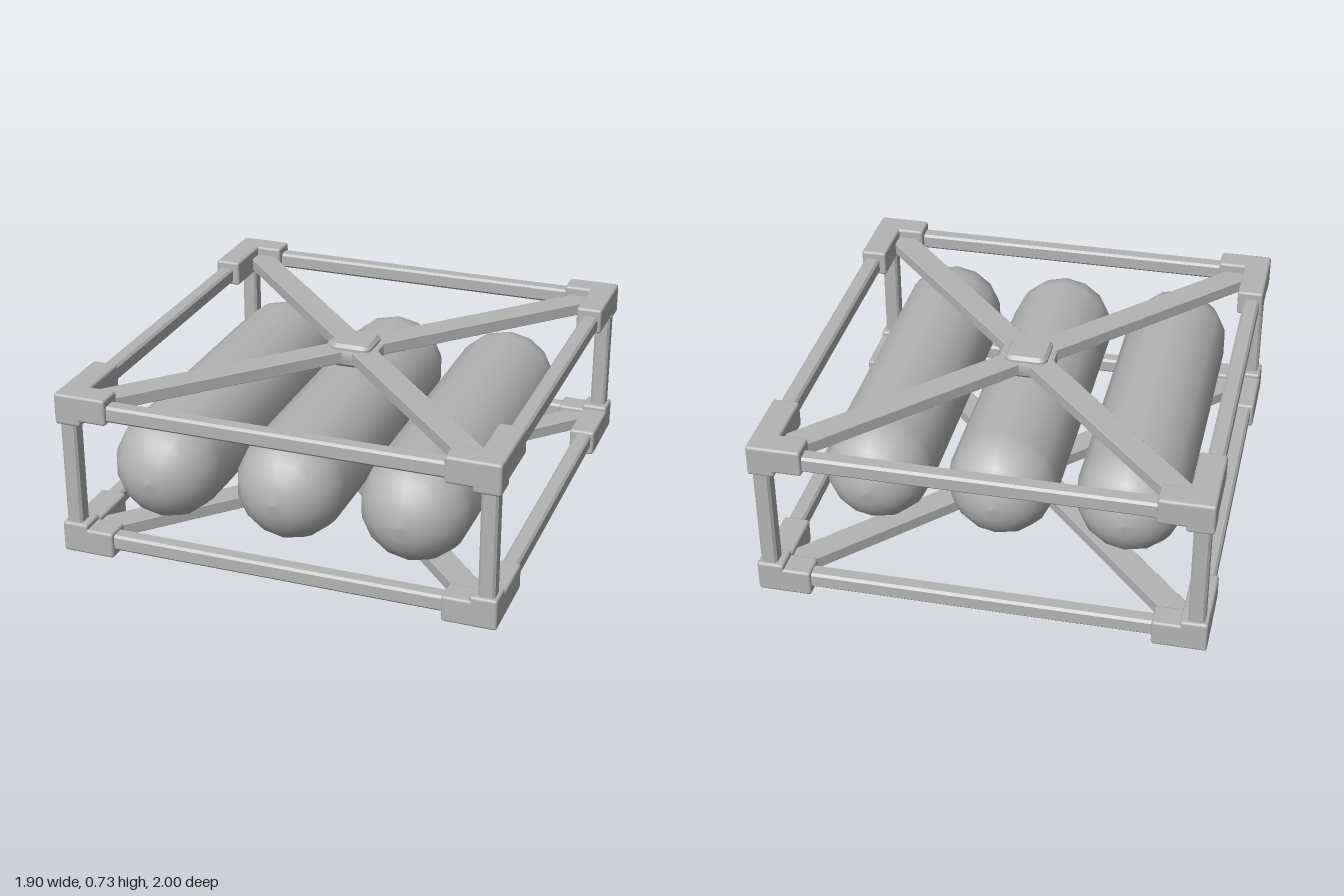
import * as THREE from 'three';
import { toCreasedNormals } from 'three/addons/utils/BufferGeometryUtils.js';
import { RoundedBoxGeometry } from 'three/addons/geometries/RoundedBoxGeometry.js';

const HALF_X = 0.95, HALF_Z = 1, HEIGHT = 0.73;
const BEAM = 0.07, BEAM_X = 0.9, BEAM_Z = 0.95, BEAM_Y = 0.068;

// Square bar with chamfered long edges, running along z and centred
function barGeometry(width, height, length, chamfer) {
  const w = width / 2, h = height / 2, c = chamfer;
  const pts = [[w, -h + c], [w, h - c], [w - c, h], [-w + c, h],
    [-w, h - c], [-w, -h + c], [-w + c, -h], [w - c, -h]];
  const shape = new THREE.Shape(pts.map(([x, y]) => new THREE.Vector2(x, y)));
  return new THREE.ExtrudeGeometry(shape, { depth: length, bevelEnabled: false })
    .translate(0, 0, -length / 2);
}

// Bevelled plate drawn in (x, z), standing on y = 0
function plateGeometry(points, height, bevel) {
  const shape = new THREE.Shape(points.map(([x, z]) => new THREE.Vector2(x, -z)));
  const geo = new THREE.ExtrudeGeometry(shape, {
    depth: height - 2 * bevel, bevelThickness: bevel, bevelSize: bevel,
    bevelOffset: -bevel, bevelSegments: 2,
  });
  return toCreasedNormals(geo.rotateX(-Math.PI / 2).translate(0, bevel, 0), 0.6);
}

export function createModel() {
  const model = new THREE.Group();
  model.name = 'tankRack';
  const grey = new THREE.MeshStandardMaterial({ color: 0xb4b4b4 });
  grey.name = 'grey';

  function add(parent, name, geometry, x = 0, y = 0, z = 0) {
    const mesh = new THREE.Mesh(geometry, grey);
    mesh.name = name;
    mesh.position.set(x, y, z);
    parent.add(mesh);
    return mesh;
  }

  // Capsule tanks: fourteen-sided, domed at both ends
  const R = 0.235, BACK = -0.505, FRONT = 0.745;
  const profile = [];
  for (let i = 0; i <= 6; i++) {
    const a = (i / 6) * Math.PI / 2;
    profile.push(new THREE.Vector2(R * Math.sin(a), BACK - R * Math.cos(a)));
  }
  for (let i = 0; i <= 6; i++) {
    const a = (i / 6) * Math.PI / 2;
    profile.push(new THREE.Vector2(R * Math.cos(a), FRONT + R * Math.sin(a)));
  }
  profile[0].x = 0;
  profile[profile.length - 1].x = 0;
  const tank = new THREE.LatheGeometry(profile, 14).rotateX(Math.PI / 2);
  [-0.55, 0, 0.54].forEach((x) => add(model, 'tank', tank, x, 0.372, 0));

  // Upright posts
  const post = barGeometry(BEAM, BEAM, HEIGHT - 0.1, 0.01).rotateX(Math.PI / 2);
  for (const sx of [-1, 1]) for (const sz of [-1, 1]) {
    add(model, 'post', post, sx * BEAM_X, HEIGHT / 2, sz * BEAM_Z);
  }

  const longBeam = barGeometry(BEAM, BEAM, 1.8, 0.01);
  const crossBeam = barGeometry(BEAM, BEAM, 1.7, 0.01).rotateY(Math.PI / 2);
  const braceAngle = Math.atan2(0.79, 0.85);
  const brace = barGeometry(0.114, 0.055, 2.44, 0.003);
  const armX = new RoundedBoxGeometry(0.23, 0.115, 0.115, 2, 0.012);
  const armZ = new RoundedBoxGeometry(0.115, 0.115, 0.36, 2, 0.012);
  const collar = new RoundedBoxGeometry(0.115, 0.137, 0.115, 2, 0.012);
  const web = plateGeometry([[0.03, 0.11], [0.12, 0.03], [0.12, -0.03], [0.03, -0.11],
    [-0.03, -0.11], [-0.12, -0.03], [-0.12, 0.03], [-0.03, 0.11]], 0.053, 0.002);

  // Rounded square hub, bevelled on top and underneath
  const hubShape = new THREE.Shape();
  const s = 0.08, r = 0.025;
  hubShape.absarc(s - r, s - r, r, 0, Math.PI / 2);
  hubShape.absarc(r - s, s - r, r, Math.PI / 2, Math.PI);
  hubShape.absarc(r - s, r - s, r, Math.PI, Math.PI * 1.5);
  hubShape.absarc(s - r, r - s, r, Math.PI * 1.5, Math.PI * 2);
  const hub = toCreasedNormals(new THREE.ExtrudeGeometry(hubShape, {
    depth: 0.075, bevelThickness: 0.015, bevelSize: 0.014, bevelSegments: 1, curveSegments: 4,
  }).rotateX(-Math.PI / 2).translate(0, -0.0375, 0), 0.5);

  // Bottom frame, and the same frame turned over for the top
  for (const top of [false, true]) {
    const frame = new THREE.Group();
    frame.name = top ? 'topFrame' : 'bottomFrame';
    if (top) {
      frame.rotation.z = Math.PI;
      frame.position.y = HEIGHT;
    }
    for (const side of [-1, 1]) {
      add(frame, 'longBeam', longBeam, side * BEAM_X, BEAM_Y, 0);
      add(frame, 'crossBeam', crossBeam, 0, BEAM_Y, side * BEAM_Z);
      add(frame, 'diagonalBrace', brace, 0, BEAM_Y, 0).rotation.y = side * braceAngle;
    }
    add(frame, 'hubWeb', web, 0, BEAM_Y - 0.0265, 0);
    add(frame, 'hub', hub, 0, BEAM_Y, 0);

    // Corner fittings: two arms and a collar round the post
    for (const sx of [-1, 1]) for (const sz of [-1, 1]) {
      const corner = new THREE.Group();
      corner.name = 'cornerFitting';
      add(corner, 'crossArm', armX, sx * (HALF_X - 0.115), 0.0575, sz * (HALF_Z - 0.0575));
      add(corner, 'longArm', armZ, sx * (HALF_X - 0.0575), 0.0575, sz * (HALF_Z - 0.18));
      add(corner, 'postCollar', collar, sx * (HALF_X - 0.0575), 0.0685, sz * (HALF_Z - 0.0575));
      frame.add(corner);
    }
    model.add(frame);
  }
  return model;
}
